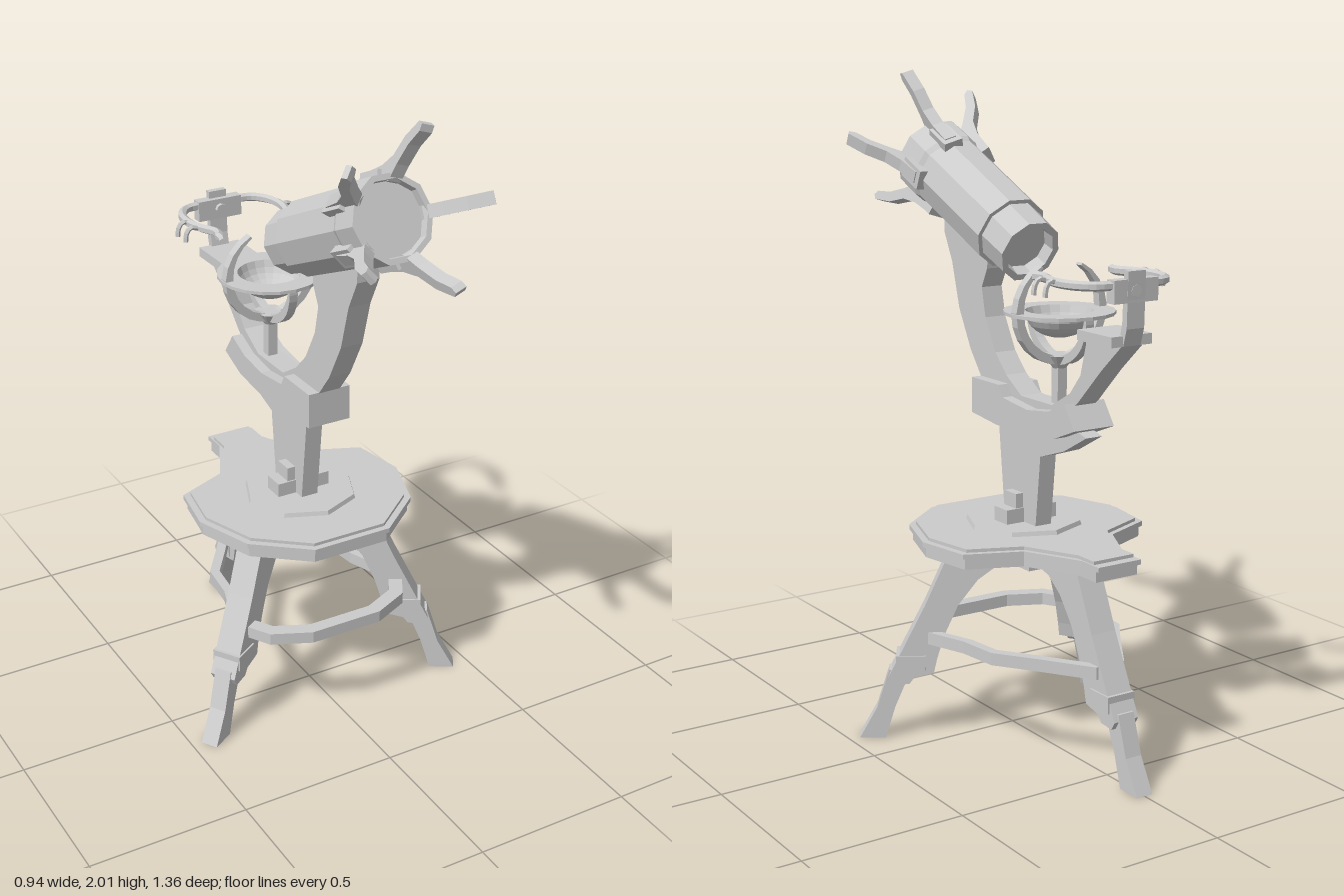
import * as THREE from 'three';

const mat = new THREE.MeshStandardMaterial({ color: 0xcccccc, flatShading: true, side: THREE.DoubleSide });

function add(parent, name, geo, x = 0, y = 0, z = 0) {
  const m = new THREE.Mesh(geo, mat);
  m.name = name;
  m.position.set(x, y, z);
  parent.add(m);
  return m;
}

const shapeOf = pts => new THREE.Shape(pts.map(p => new THREE.Vector2(p[0], p[1])));

// Profile in its own plane, given a thickness centred on that plane
function plate(pts, width) {
  const g = new THREE.ExtrudeGeometry(shapeOf(pts), { depth: width, bevelEnabled: false });
  return g.translate(0, 0, -width / 2);
}

// Side profile (z, y) with a thickness along x
const side = (pts, width) => plate(pts, width).rotateY(-Math.PI / 2);

// Half outline (x, z) mirrored to a full plan, scaled about a centre
function plan(half, s = 1, cz = 0) {
  const f = ([x, z]) => [x * s, -(cz + (z - cz) * s)];
  return [...half.map(f), ...half.slice().reverse().map(([x, z]) => f([-x, z]))];
}

// Horizontal slab from a plan
function slab(pts, height, hole) {
  const s = shapeOf(pts);
  if (hole) s.holes.push(shapeOf(hole));
  return new THREE.ExtrudeGeometry(s, { depth: height, bevelEnabled: false }).rotateX(-Math.PI / 2);
}

const box = (w, h, d) => new THREE.BoxGeometry(w, h, d);

function buildTable(g) {
  const half = [[0.13, 0.265], [0.29, 0.134], [0.355, -0.055], [0.325, -0.23],
    [0.16, -0.3], [0.115, -0.39], [0.075, -0.47], [0.075, -0.55]];
  add(g, 'tableUnderside', slab(plan(half, 0.97, -0.06), 0.035), 0, 0.61, 0);
  add(g, 'tableRim', slab(plan(half), 0.015), 0, 0.643, 0);
  add(g, 'tableTop', slab(plan(half, 0.94, -0.06), 0.012), 0, 0.656, 0);
  add(g, 'pillarPlate', new THREE.CylinderGeometry(0.175, 0.18, 0.014, 8), 0, 0.674, -0.06);
  add(g, 'underHub', box(0.07, 0.08, 0.085), 0, 0.575, -0.1);

  // Stretcher ring between the legs
  const ring = [[0.12, 0.235], [0.24, 0.18], [0.31, 0.06], [0.25, -0.11],
    [0.235, -0.24], [0.15, -0.36], [0.05, -0.51]];
  add(g, 'stretcherRing', slab(plan(ring), 0.038, plan(ring, 0.88, -0.13)), 0, 0.307, 0);
}

function buildLegs(g) {
  const upper = [[0.28, 0.61], [0.36, 0.43], [0.475, 0.2], [0.46, 0.175], [0.41, 0.18], [0.395, 0.2], [0.335, 0.215],
    [0.325, 0.26], [0.3, 0.34], [0.26, 0.43], [0.2, 0.51], [0.14, 0.555], [0.06, 0.575], [0.06, 0.61]];
  const lower = [[0.472, 0.22], [0.51, 0.1], [0.565, 0], [0.485, 0], [0.455, 0.1], [0.405, 0.22]];
  for (const [deg, shift] of [[90, 0], [-32, -0.03], [212, -0.03]]) {
    const leg = new THREE.Group();
    leg.name = 'leg';
    add(leg, 'upperLeg', plate(upper, 0.085), shift);
    add(leg, 'foot', plate(lower, 0.055), shift);
    add(leg, 'legBand', box(0.09, 0.05, 0.095), 0.405 + shift, 0.245);
    leg.position.z = -0.115;
    leg.rotation.y = THREE.MathUtils.degToRad(deg);
    g.add(leg);
  }
}

function buildMount(g) {
  add(g, 'pillar', side([[0.0, 0.67], [-0.165, 0.67], [-0.19, 0.9], [-0.31, 0.94], [-0.42, 1.0],
    [-0.3, 1.03], [0.03, 1.03], [0.03, 0.94]], 0.056));
  add(g, 'clampBase', box(0.18, 0.05, 0.07), 0, 0.7, -0.07);
  add(g, 'clampTop', box(0.11, 0.05, 0.06), 0, 0.745, -0.07);
  add(g, 'cradle', side([[0.12, 1.095], [0.12, 0.985], [-0.02, 0.97], [-0.2, 0.97], [-0.32, 0.985], [-0.42, 1.025],
    [-0.37, 1.095], [-0.29, 1.06], [-0.18, 1.045], [-0.05, 1.06], [-0.03, 1.095]], 0.14));

  // Curved fork from the telescope down through the cradle and up to the jaw
  add(g, 'fork', side([[0.33, 1.56], [0.33, 1.52], [0.285, 1.43], [0.245, 1.29], [0.18, 1.17], [0.11, 1.08],
    [0.02, 1.02], [-0.15, 0.99], [-0.3, 1.03], [-0.39, 1.1], [-0.5, 1.21], [-0.59, 1.29], [-0.59, 1.31],
    [-0.43, 1.31], [-0.425, 1.27], [-0.4, 1.18], [-0.35, 1.12], [-0.26, 1.07], [-0.1, 1.07], [-0.02, 1.12],
    [0.04, 1.18], [0.095, 1.28], [0.115, 1.37], [0.085, 1.43], [0.08, 1.48]], 0.072));
}

function buildTelescope(g) {
  const t = new THREE.Group();
  t.name = 'telescope';
  t.position.set(0, 1.497, -0.095);
  t.rotation.x = 1.147;
  g.add(t);
  const profile = [[0, 0.04], [0.075, 0.04], [0.08, 0], [0.1, 0], [0.104, 0.112], [0.117, 0.112], [0.12, 0.48],
    [0.127, 0.5], [0.127, 0.6], [0.11, 0.6], [0.107, 0.575], [0, 0.575]].map(p => new THREE.Vector2(...p));
  add(t, 'telescopeTube', new THREE.LatheGeometry(profile, 10, Math.PI / 10));

  // Five prongs round the open end
  const prong = [[0.1, 0.47], [0.14, 0.47], [0.148, 0.55], [0.168, 0.61], [0.21, 0.665], [0.24, 0.735],
    [0.23, 0.75], [0.212, 0.74], [0.185, 0.685], [0.14, 0.63], [0.1, 0.59]];
  for (let i = 0; i < 5; i++) {
    const p = new THREE.Group();
    p.name = 'prong';
    add(p, 'prongBlade', plate(prong, 0.038));
    add(p, 'prongPad', box(0.05, 0.1, 0.062), 0.112, 0.5);
    p.rotation.y = THREE.MathUtils.degToRad(72 + 72 * i);
    t.add(p);
  }
}

function buildBowl(g) {
  const b = new THREE.Group();
  b.name = 'bowlStand';
  b.position.z = -0.245;
  g.add(b);
  // Dish with a wide flat rim
  const dish = [[0, 1.265]];
  for (let i = 1; i <= 6; i++) {
    const a = i / 6 * Math.PI / 2;
    dish.push([0.1 * Math.sin(a), 1.338 - 0.073 * Math.cos(a)]);
  }
  dish.push([0.164, 1.335], [0.164, 1.345], [0.1, 1.345]);
  for (let i = 5; i >= 0; i--) {
    const a = i / 6 * Math.PI / 2;
    dish.push([0.095 * Math.sin(a), 1.34 - 0.065 * Math.cos(a)]);
  }
  add(b, 'bowl', new THREE.LatheGeometry(dish.map(p => new THREE.Vector2(...p)), 20));

  // Flat curved bands: one with horns above the rim, one half ring across it
  const band = (from, to) => {
    const outer = [], inner = [];
    for (let i = 0; i <= 20; i++) {
      const u = i / 20, a = THREE.MathUtils.degToRad(from + (to - from) * u);
      const w = 0.004 + 0.009 * Math.min(1, 5 * Math.min(u, 1 - u));
      outer.push([(0.146 + w) * Math.cos(a), (0.146 + w) * Math.sin(a)]);
      inner.unshift([(0.146 - w) * Math.cos(a), (0.146 - w) * Math.sin(a)]);
    }
    return plate([...outer, ...inner], 0.028);
  };
  add(b, 'hornBand', band(118, 422), 0, 1.345);
  add(b, 'crossBand', band(180, 360).rotateY(Math.PI / 2), 0, 1.345);
  add(b, 'bowlStem', box(0.032, 0.17, 0.032), 0, 1.125);
  add(b, 'stemCollar', new THREE.CylinderGeometry(0.05, 0.02, 0.04, 8), 0, 1.195);
}

function buildJaw(g) {
  add(g, 'jawSeat', box(0.14, 0.03, 0.16), 0, 1.305, -0.51);
  add(g, 'jawPost', side([[-0.57, 1.29], [-0.59, 1.29], [-0.605, 1.34], [-0.61, 1.5], [-0.59, 1.5],
    [-0.585, 1.36]], 0.06));
  add(g, 'jawBlock', box(0.15, 0.065, 0.035), 0, 1.445, -0.59);
  add(g, 'jawPivot', new THREE.CylinderGeometry(0.018, 0.018, 0.05, 8).rotateX(Math.PI / 2), 0, 1.445, -0.585);

  // Mirrored arms with small hooks on the outside
  for (const s of [-1, 1]) {
    const path = new THREE.CatmullRomCurve3([[0.06, -0.59], [0.115, -0.58], [0.152, -0.535], [0.163, -0.47],
      [0.15, -0.405], [0.125, -0.35], [0.135, -0.315]].map(([x, z]) => new THREE.Vector3(s * x, 1.462, z)));
    add(g, 'jawArm', new THREE.TubeGeometry(path, 18, 0.014, 6));
    for (const z of [-0.465, -0.41]) {
      const hook = new THREE.CatmullRomCurve3([[0.155, 1.46], [0.185, 1.468], [0.2, 1.45], [0.203, 1.425]]
        .map(([x, y]) => new THREE.Vector3(s * x, y, z)));
      add(g, 'jawHook', new THREE.TubeGeometry(hook, 6, 0.008, 5));
    }
  }
}

export function createModel() {
  const g = new THREE.Group();
  g.name = 'telescopeOnStand';
  buildTable(g);
  buildLegs(g);
  buildMount(g);
  buildTelescope(g);
  buildBowl(g);
  buildJaw(g);
  return g;
}
